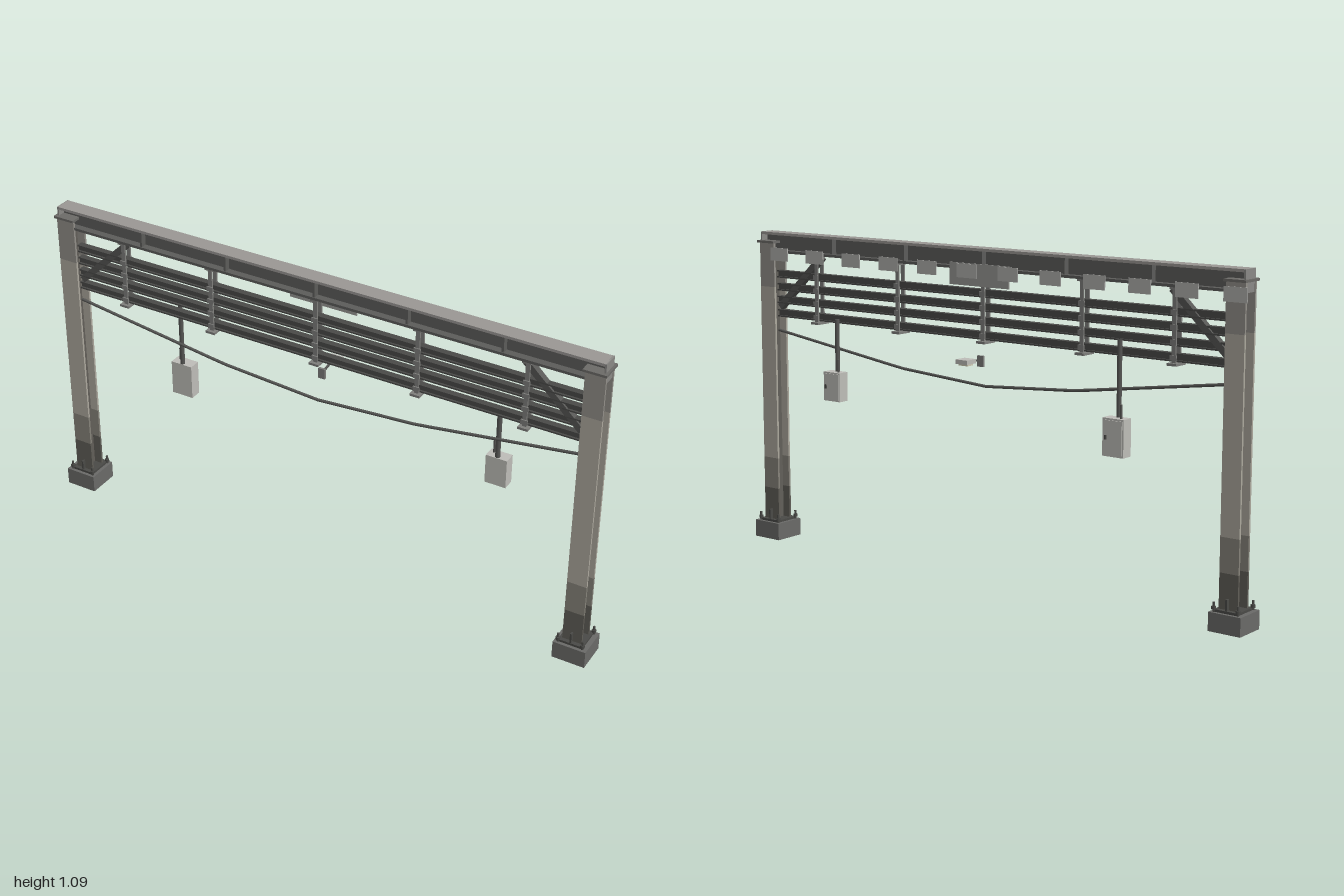
import * as THREE from 'three';

const ZC = 0.035; // depth of the frame's centre plane

const paint = color => new THREE.MeshStandardMaterial({ color });
const MAT = {
  concrete: paint(0x6a6a68),
  hardware: paint(0x4a4a47),
  cap: paint(0x6c6b68),
  web: paint(0x625f59),
  beam: paint(0x5c5c5a),
  beamTop: paint(0x9a9794),
  beamEnd: paint(0x8a8986),
  rail: paint(0x4a4a48),
  hanger: paint(0x7e7e7b),
  dark: paint(0x555553),
  cabinet: paint(0xbebdb8),
  plate: paint(0xaeaeab),
  centrePlate: paint(0x969693),
  lens: paint(0xcfcbb4),
};
// Weathering of the column faces: start height, end height, finish
const BANDS = [
  [0.066, 0.18, paint(0x605e57)],
  [0.18, 0.29, paint(0x86837a)],
  [0.29, 0.9, paint(0xaca89d)],
  [0.9, 1.053, paint(0x928f89)],
];

function add(parent, mat, name, geometry, x = 0, y = 0, z = 0) {
  const mesh = new THREE.Mesh(geometry, mat);
  mesh.name = name;
  mesh.position.set(x, y, z);
  parent.add(mesh);
  return mesh;
}
const box = (parent, mat, name, w, h, d, x, y, z) =>
  add(parent, mat, name, new THREE.BoxGeometry(w, h, d), x, y, z);
const rod = (parent, mat, name, r, h, x, y, z, sides = 10) =>
  add(parent, mat, name, new THREE.CylinderGeometry(r, r, h, sides), x, y, z);

// I-section running along x
function iBeam(width, height, flange, web, length) {
  const w = width / 2, h = height / 2, t = web / 2, f = h - flange;
  const pts = [[-w, -h], [w, -h], [w, -f], [t, -f], [t, f], [w, f],
    [w, h], [-w, h], [-w, f], [-t, f], [-t, -f], [-w, -f]];
  const shape = new THREE.Shape(pts.map(p => new THREE.Vector2(...p)));
  return new THREE.ExtrudeGeometry(shape, { depth: length, bevelEnabled: false })
    .translate(0, 0, -length / 2).rotateY(Math.PI / 2);
}

// Straight bar between two points
function strut(parent, mat, name, a, b, size) {
  const mesh = box(parent, mat, name, size, size, a.distanceTo(b), 0, 0, 0);
  mesh.position.copy(a).add(b).multiplyScalar(0.5);
  mesh.lookAt(b);
}

function buildColumn(side) {
  const g = new THREE.Group();
  g.name = side > 0 ? 'leftColumn' : 'rightColumn';
  g.position.set(side * 0.9425, 0, ZC);
  box(g, MAT.concrete, 'footing', 0.112, 0.06, 0.112, 0.002 * side, 0.03, 0);
  box(g, MAT.hardware, 'basePlate', 0.084, 0.008, 0.09, 0, 0.064, 0);
  box(g, MAT.web, 'postWeb', 0.008, 0.985, 0.046, 0, 0.56, 0);
  box(g, MAT.cap, 'capPlate', 0.076, 0.008, 0.08, 0, 1.057, 0);
  for (const sz of [-1, 1]) {
    for (const [y0, y1, mat] of BANDS)
      box(g, mat, 'postFlange', 0.066, y1 - y0, 0.008, 0, (y0 + y1) / 2, sz * 0.027);
    box(g, MAT.hardware, 'gusset', 0.006, 0.038, 0.013, 0, 0.084, sz * 0.037);
    for (const sx of [-1, 1]) {
      rod(g, MAT.hardware, 'anchorBolt', 0.004, 0.03, sx * 0.042, 0.075, sz * 0.044, 8);
      rod(g, MAT.hardware, 'nut', 0.0075, 0.01, sx * 0.042, 0.072, sz * 0.044, 6);
    }
  }
  return g;
}

function buildTopBeam() {
  const g = new THREE.Group();
  g.name = 'topBeam';
  box(g, MAT.beamTop, 'topFlange', 1.94, 0.009, 0.056, 0, 1.0865, ZC);
  box(g, MAT.beam, 'beamWeb', 1.93, 0.052, 0.008, 0, 1.056, ZC);
  box(g, MAT.beam, 'bottomFlange', 1.94, 0.009, 0.056, 0, 1.0255, ZC);
  for (const x of [-0.645, -0.325, 0, 0.325, 0.645])
    box(g, MAT.beam, 'stiffener', 0.007, 0.052, 0.05, x, 1.056, ZC);
  for (const s of [-1, 1])
    box(g, MAT.beamEnd, 'endPlate', 0.006, 0.07, 0.057, s * 0.97, 1.056, ZC);
  return g;
}

function buildRails() {
  const g = new THREE.Group();
  g.name = 'railRack';
  const levels = [0.945, 0.9, 0.855, 0.808];
  for (const y of levels)
    add(g, MAT.rail, 'rail', iBeam(0.022, 0.026, 0.005, 0.008, 1.83), 0, y, ZC);
  for (const x of [-0.725, -0.388, 0, 0.36, 0.725]) {
    for (const s of [-1, 1]) {
      box(g, MAT.hanger, 'hangerBar', 0.014, 0.24, 0.006, x, 0.905, ZC + s * 0.014);
      for (const y of levels)
        box(g, MAT.hanger, 'clamp', 0.022, 0.016, 0.005, x, y, ZC + s * 0.0185);
    }
    box(g, MAT.hanger, 'hangerFoot', 0.034, 0.008, 0.056, x, 0.788, ZC);
    box(g, MAT.hanger, 'hangerHead', 0.026, 0.008, 0.05, x, 1.018, ZC);
  }
  for (const s of [-1, 1])
    strut(g, MAT.dark, 'diagonalBrace', new THREE.Vector3(s * 0.905, 0.83, ZC),
      new THREE.Vector3(s * 0.71, 1.015, ZC), 0.022);
  return g;
}

// Hanging cabinet with its drop pole, conduit and door on the back
function buildCabinet(x, bottom, w, h, poleTop) {
  const g = new THREE.Group();
  g.name = 'cabinet';
  const top = bottom + h, y = bottom + h / 2, poleBottom = bottom + h * 0.4;
  box(g, MAT.cabinet, 'cabinetBody', w, h, 0.041, x, y, 0.0065);
  box(g, MAT.cabinet, 'cabinetDoor', w * 0.88, h * 0.9, 0.003, x, y, -0.0155);
  box(g, MAT.hardware, 'doorHandle', 0.006, 0.014, 0.004, x + w * 0.32, y, -0.019);
  rod(g, MAT.dark, 'dropPole', 0.008, poleTop - poleBottom, x, (poleTop + poleBottom) / 2, 0.018);
  rod(g, MAT.dark, 'conduit', 0.004, 0.045, x - 0.02, top + 0.021, 0);
  return g;
}

function buildLamp() {
  const g = new THREE.Group();
  g.name = 'lamp';
  box(g, MAT.hanger, 'lampMount', 0.024, 0.036, 0.008, 0, 0.728, 0.009);
  strut(g, MAT.dark, 'lampArm', new THREE.Vector3(0, 0.73, 0.005),
    new THREE.Vector3(0, 0.74, -0.05), 0.006);
  box(g, MAT.cabinet, 'lampHead', 0.046, 0.014, 0.046, 0, 0.737, -0.069);
  box(g, MAT.lens, 'lampLens', 0.036, 0.008, 0.028, 0, 0.728, -0.069);
  return g;
}

// Sagging cable made of straight spans
function buildCable() {
  const points = [[-0.92, 0.746], [-0.355, 0.666], [0, 0.642], [0.355, 0.666], [0.92, 0.746]]
    .map(p => new THREE.Vector3(p[0], p[1], ZC));
  const path = new THREE.CurvePath();
  for (let i = 1; i < points.length; i++)
    path.add(new THREE.LineCurve3(points[i - 1], points[i]));
  return new THREE.TubeGeometry(path, 32, 0.005, 8);
}

export function createModel() {
  const model = new THREE.Group();
  model.name = 'gantry';
  model.add(buildColumn(-1), buildColumn(1), buildTopBeam(), buildRails());
  model.add(buildCabinet(-0.532, 0.485, 0.078, 0.12, 0.845));
  model.add(buildCabinet(0.63, 0.53, 0.072, 0.1, 0.81));
  model.add(buildLamp());
  add(model, MAT.dark, 'saggingCable', buildCable());

  // Row of small plates along the back of the beam, and the wide centre plate
  for (let i = 0; i < 12; i++)
    box(model, MAT.plate, 'backPlate', 0.08, 0.045, 0.003, -0.95 + i * 0.1655, 1.018, -0.01);
  box(model, MAT.centrePlate, 'centrePlate', 0.24, 0.072, 0.004, 0, 1.006, 0);
  return model;
}
